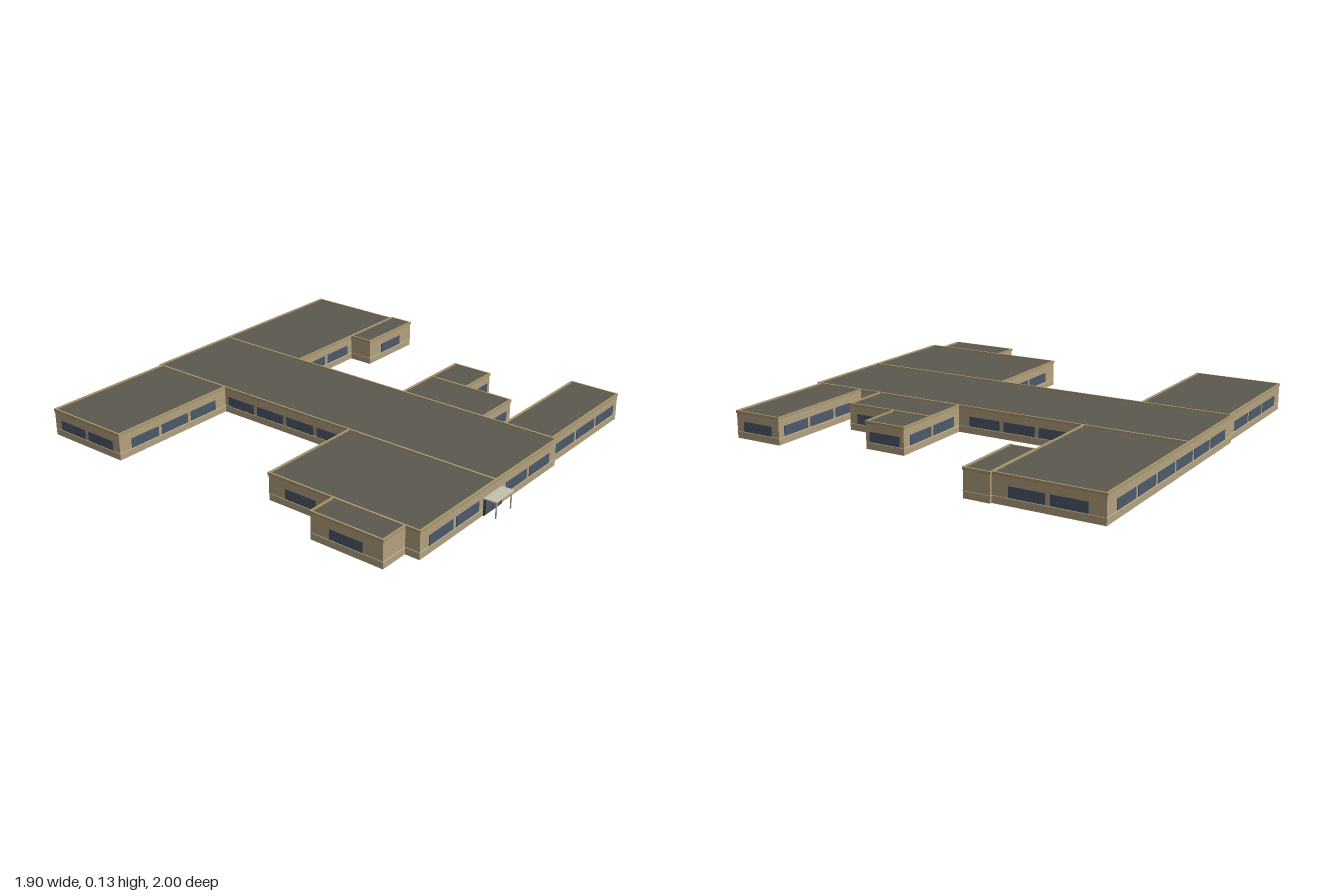
import * as THREE from 'three';

const H = 0.128; // parapet height
const mat = (name, color, side = THREE.FrontSide) => {
  const m = new THREE.MeshStandardMaterial({ color, side });
  m.name = name;
  return m;
};

// wings: name, x0, x1, z0, z1
const WINGS = [
  ['mainHall', -0.29, 0.185, -0.997, 0.94],
  ['backRightWing', -0.947, -0.29, -0.985, -0.56],
  ['backLeftWing', 0.185, 0.932, -0.997, -0.51],
  ['backLeftAnnex', 0.595, 0.943, -0.51, -0.388],
  ['middleLeftWing', 0.185, 0.413, 0.125, 0.568],
  ['middleLeftAnnex', 0.413, 0.615, 0.125, 0.325],
  ['frontLeftWing', 0.185, 0.775, 0.68, 0.92],
  ['frontRightWing', -0.81, -0.29, 0.185, 0.94],
  ['frontRightAnnex', -0.947, -0.81, 0.522, 0.872],
];

// outer wall line around all wings, outward side on the left of travel seen from above
const OUTLINE = [
  [-0.947, -0.985], [-0.29, -0.985], [-0.29, -0.997], [0.932, -0.997], [0.932, -0.51],
  [0.943, -0.51], [0.943, -0.388], [0.595, -0.388], [0.595, -0.51], [0.185, -0.51],
  [0.185, 0.125], [0.615, 0.125], [0.615, 0.325], [0.413, 0.325], [0.413, 0.568],
  [0.185, 0.568], [0.185, 0.68], [0.775, 0.68], [0.775, 0.92], [0.185, 0.92],
  [0.185, 0.94], [-0.81, 0.94], [-0.81, 0.872], [-0.947, 0.872], [-0.947, 0.522],
  [-0.81, 0.522], [-0.81, 0.185], [-0.29, 0.185], [-0.29, -0.56], [-0.947, -0.56],
];

export function createModel() {
  const model = new THREE.Group();
  model.name = 'building';
  const wallMat = mat('tan wall', 0xb5a380, THREE.DoubleSide);
  const trimMat = mat('parapet trim', 0xac986f);
  const roofMat = mat('dark roof', 0x5b594f, THREE.DoubleSide);
  const glassMat = mat('slate glass', 0x4d5a6b);
  const sillMat = mat('pale sill', 0xcabd9f);
  const frameMat = mat('dark frame', 0x2e2d2a);
  const canopyMat = mat('pale canopy', 0xc6c1ae);

  const add = (parent, name, geo, material, x, y, z, ry = 0) => {
    const mesh = new THREE.Mesh(geo, material);
    mesh.name = name;
    mesh.position.set(x, y, z);
    mesh.rotation.y = ry;
    parent.add(mesh);
    return mesh;
  };
  const box = (parent, name, material, size, pos, ry) =>
    add(parent, name, new THREE.BoxGeometry(...size), material, ...pos, ry);

  // each wing is an open-bottomed shell with a flat roof and a parapet frame
  for (const [name, x0, x1, z0, z1] of WINGS) {
    const wing = new THREE.Group();
    wing.name = name;
    model.add(wing);
    const w = x1 - x0, d = z1 - z0, cx = (x0 + x1) / 2, cz = (z0 + z1) / 2;
    const wallH = H - 0.004;
    for (const s of [-1, 1]) {
      add(wing, 'wall', new THREE.PlaneGeometry(w, wallH), wallMat,
        cx, wallH / 2, cz + s * d / 2, s > 0 ? 0 : Math.PI);
      add(wing, 'wall', new THREE.PlaneGeometry(d, wallH), wallMat,
        cx + s * w / 2, wallH / 2, cz, s * Math.PI / 2);
    }
    add(wing, 'roof', new THREE.PlaneGeometry(w, d).rotateX(-Math.PI / 2), roofMat, cx, 0.122, cz);
    for (const s of [-1, 1]) {
      box(wing, 'parapet', trimMat, [w + 0.006, 0.012, 0.008], [cx, H - 0.006, cz + s * (d / 2 - 0.001)]);
      box(wing, 'parapet', trimMat, [0.008, 0.012, d + 0.006], [cx + s * (w / 2 - 0.001), H - 0.006, cz]);
    }
  }

  // windows and sill band on every outer wall
  const facade = new THREE.Group();
  facade.name = 'facade';
  model.add(facade);
  const pitch = 0.18;
  OUTLINE.forEach(([ax, az], i) => {
    const [bx, bz] = OUTLINE[(i + 1) % OUTLINE.length];
    const len = Math.hypot(bx - ax, bz - az);
    const dx = (bx - ax) / len, dz = (bz - az) / len;
    const ry = Math.atan2(dz, -dx);
    const mx = (ax + bx) / 2, mz = (az + bz) / 2;
    box(facade, 'sillBand', sillMat, [len, 0.003, 0.004], [mx, 0.031, mz], ry);
    const count = Math.floor(len / pitch);
    for (let k = 0; k < count; k++) {
      const t = (k - (count - 1) / 2) * pitch;
      const x = mx + dx * t, z = mz + dz * t;
      if (z > 0.93 && Math.abs(x + 0.3125) < 0.05) continue; // entrance bay
      box(facade, 'window', glassMat, [0.16, 0.046, 0.005], [x, 0.058, z], ry);
    }
  });

  // entrance with glass doors, canopy and posts
  const entrance = new THREE.Group();
  entrance.name = 'entrance';
  entrance.position.set(-0.3125, 0, 0.94);
  model.add(entrance);
  box(entrance, 'doorFrame', frameMat, [0.132, 0.074, 0.006], [0, 0.037, 0.002]);
  for (const s of [-1, 1]) {
    box(entrance, 'door', glassMat, [0.054, 0.058, 0.004], [s * 0.029, 0.033, 0.004]);
    box(entrance, 'post', canopyMat, [0.005, 0.074, 0.005], [s * 0.055, 0.037, 0.054]);
  }
  box(entrance, 'canopy', canopyMat, [0.135, 0.006, 0.06], [0, 0.077, 0.03]);
  return model;
}
